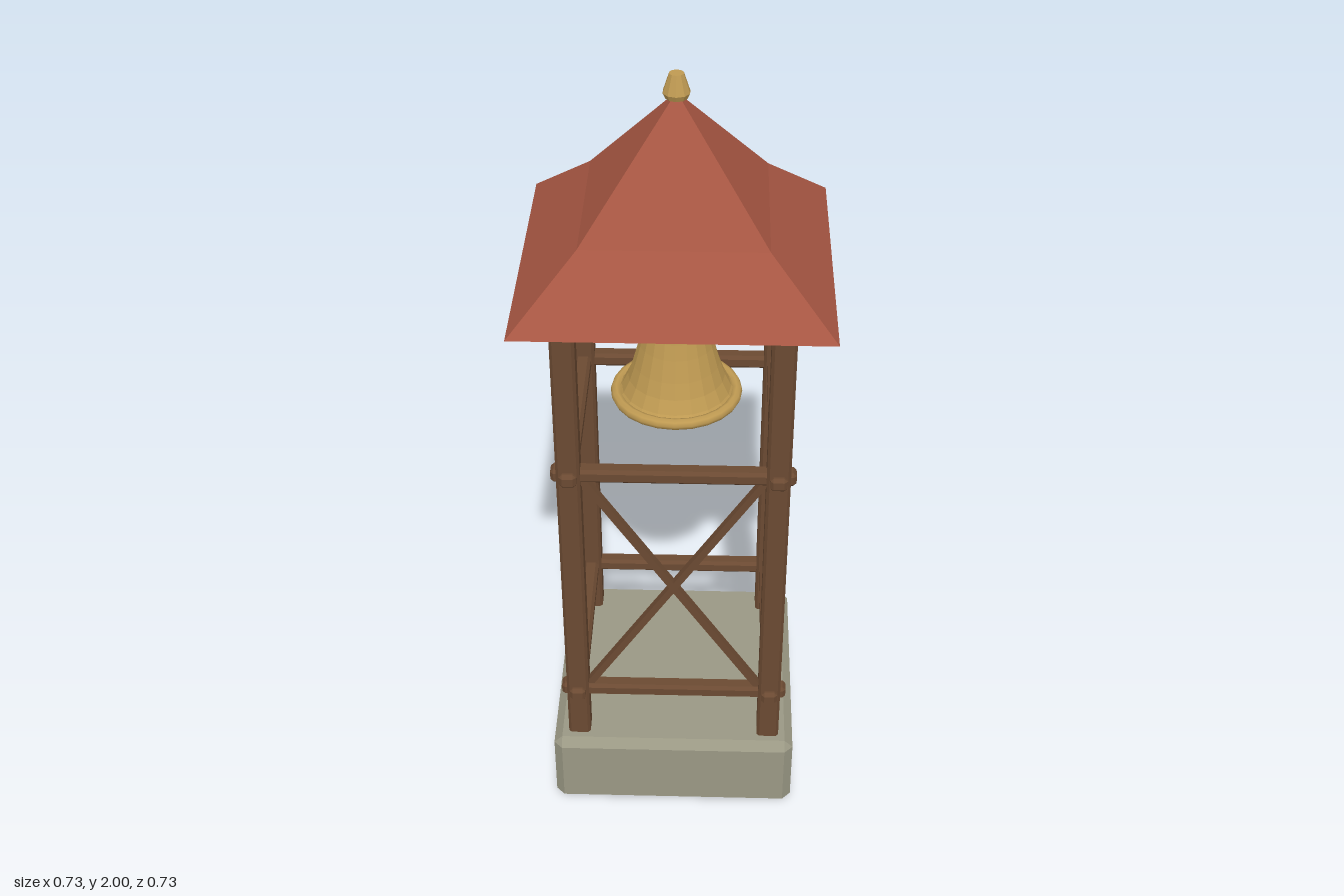
import * as THREE from 'three';
import { ConvexGeometry } from 'three/addons/geometries/ConvexGeometry.js';

const material = (name, color, side = THREE.FrontSide) => {
  const m = new THREE.MeshStandardMaterial({ color, side });
  m.name = name;
  return m;
};

// Box with chamfered edges, centred on the origin
function chamferBox(w, h, d, c) {
  const points = [];
  for (const x of [-w / 2, w / 2]) for (const y of [-h / 2, h / 2]) for (const z of [-d / 2, d / 2]) {
    const cx = x - Math.sign(x) * c, cy = y - Math.sign(y) * c, cz = z - Math.sign(z) * c;
    points.push(new THREE.Vector3(x, cy, cz), new THREE.Vector3(cx, y, cz), new THREE.Vector3(cx, cy, z));
  }
  return new ConvexGeometry(points);
}

// Faceted lathe
function facetedLathe(profile, sides) {
  const g = new THREE.LatheGeometry(profile.map(([r, y]) => new THREE.Vector2(r, y)), sides).toNonIndexed();
  g.computeVertexNormals();
  return g;
}

// Square rings [half width, height] joined into a faceted solid
function squareRoof(rings) {
  const pos = [];
  const corner = ([r, y], i) => {
    const [sx, sz] = [[1, 1], [1, -1], [-1, -1], [-1, 1]][i % 4];
    return [sx * r, y, sz * r];
  };
  for (let k = 0; k < rings.length - 1; k++) for (let i = 0; i < 4; i++) {
    const a = corner(rings[k], i), b = corner(rings[k], i + 1);
    const c = corner(rings[k + 1], i + 1), d = corner(rings[k + 1], i);
    pos.push(...a, ...b, ...c, ...a, ...c, ...d);
  }
  // Flat soffit
  const [p, q, r, s] = [0, 1, 2, 3].map(i => corner(rings[0], i));
  pos.push(...p, ...r, ...q, ...p, ...s, ...r);
  const g = new THREE.BufferGeometry();
  g.setAttribute('position', new THREE.Float32BufferAttribute(pos, 3));
  g.computeVertexNormals();
  return g;
}

export function createModel() {
  const root = new THREE.Group();
  root.name = 'bellTower';
  const stone = material('stone', 0x9a9884);
  const wood = material('wood', 0x6b4a32);
  const tile = material('roofTile', 0xa65642);
  const brass = material('brass', 0xbf9a52, THREE.DoubleSide);
  const iron = material('iron', 0x5a4c40);

  const add = (name, geometry, mat, x = 0, y = 0, z = 0, parent = root) => {
    const mesh = new THREE.Mesh(geometry, mat);
    mesh.name = name;
    mesh.position.set(x, y, z);
    parent.add(mesh);
    return mesh;
  };

  // Stone plinth
  add('plinth', chamferBox(0.64, 0.225, 0.64, 0.022), stone, 0, 0.1125, 0);

  // Corner posts
  const postGeo = chamferBox(0.058, 1.33, 0.058, 0.007);
  for (const x of [-0.252, 0.252]) for (const z of [-0.252, 0.252]) add('post', postGeo, wood, x, 0.865, z);

  // Three rings of rails that cross at the corners
  const railGeo = chamferBox(0.59, 0.037, 0.042, 0.008);
  for (const y of [0.373, 1.083, 1.514]) for (const s of [-0.252, 0.252]) {
    add('rail', railGeo, wood, 0, y, s);
    add('rail', railGeo, wood, s, y, 0).rotation.y = Math.PI / 2;
  }

  // Crossed braces on the front
  const dx = 0.45, dy = 0.69;
  const braceGeo = new THREE.BoxGeometry(0.018, Math.hypot(dx, dy), 0.022);
  for (const s of [-1, 1]) add('brace', braceGeo, wood, 0, 0.728, 0.252).rotation.z = s * Math.atan2(dx, dy);

  // Beam above the bell
  add('bellBeam', chamferBox(0.048, 0.044, 0.5, 0.009), wood, 0, 1.493, 0);

  // Bell with rim and clapper
  const bell = new THREE.Group();
  bell.name = 'bell';
  root.add(bell);
  const bellProfile = [[0.15, 1.155], [0.136, 1.172], [0.12, 1.205], [0.107, 1.245], [0.092, 1.3],
    [0.083, 1.34], [0.075, 1.4], [0.044, 1.44], [0, 1.44]];
  add('bellBody', facetedLathe(bellProfile, 20), brass, 0, 0, 0, bell);
  add('bellRim', new THREE.TorusGeometry(0.15, 0.014, 8, 24).rotateX(Math.PI / 2), brass, 0, 1.157, 0, bell);
  add('clapperBall', new THREE.SphereGeometry(0.025, 12, 8), iron, 0, 1.134, 0, bell);

  // Flared hip roof
  add('roof', squareRoof([[0.367, 1.53], [0.215, 1.674], [0.004, 1.95]]), tile);

  // Finial
  add('finial', facetedLathe([[0, 1.942], [0.026, 1.942], [0.032, 1.955], [0.019, 1.994], [0.017, 2], [0, 2]], 10), brass);

  return root;
}
